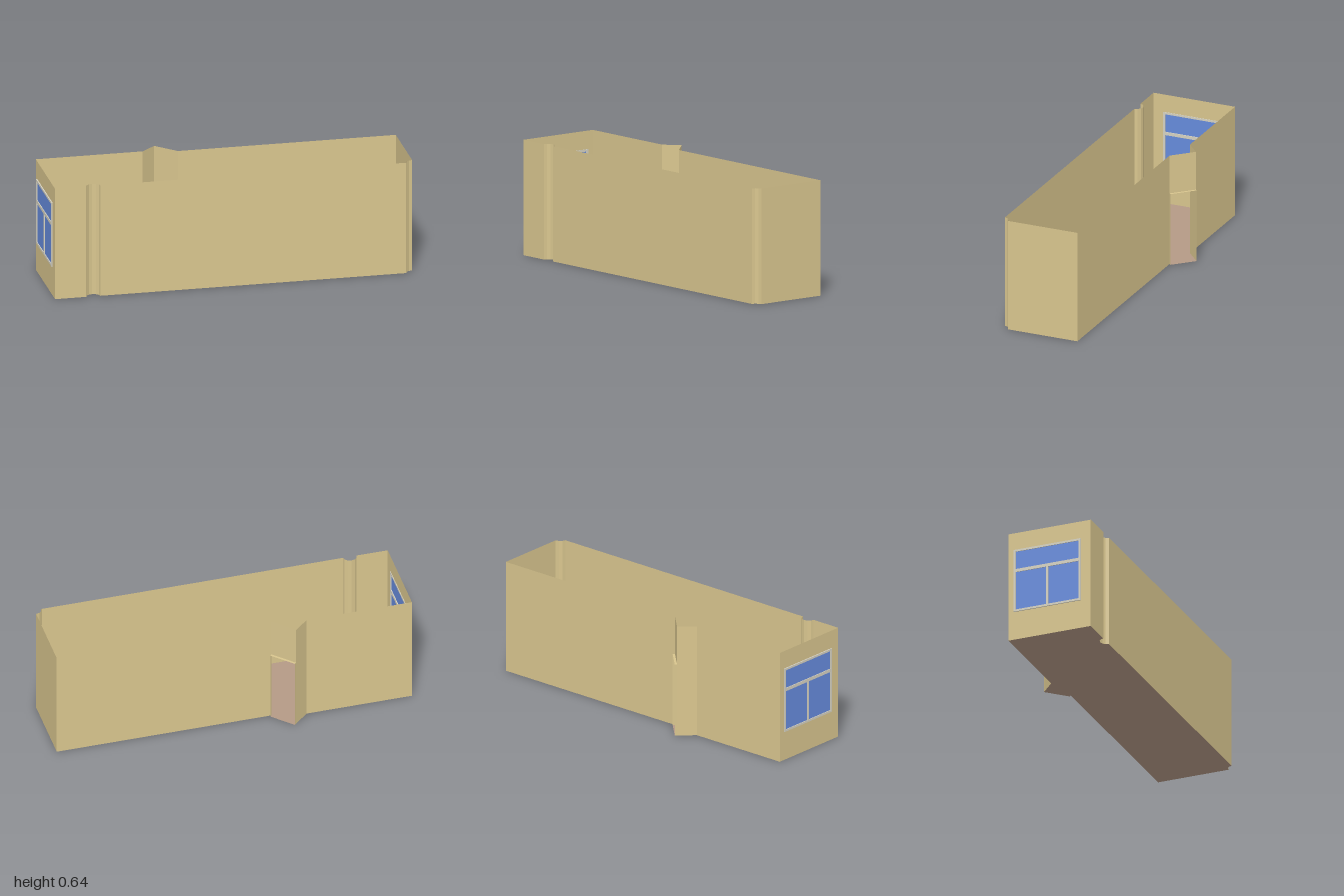
import * as THREE from 'three';

const H = 0.637, DOOR_H = 0.415, LEFT = -0.994;
const mat = (name, color, side = THREE.FrontSide) => {
  const m = new THREE.MeshStandardMaterial({ color, side });
  m.name = name;
  return m;
};

export function createModel() {
  const group = new THREE.Group();
  const wallMat = mat('tan plaster', 0xd8c58e, THREE.DoubleSide);
  const floorMat = mat('brown floor', 0xb49985, THREE.DoubleSide);
  const glassMat = mat('blue glass', 0x668bdc, THREE.DoubleSide);
  const frameMat = mat('window frame', 0xd6d2c2);

  const add = (name, geo, material, parent = group) => {
    const mesh = new THREE.Mesh(geo, material);
    mesh.name = name;
    parent.add(mesh);
    return mesh;
  };

  // upright sheet between two plan points [x, z]
  const panel = (name, a, b, y0 = 0, y1 = H) => {
    const dx = b[0] - a[0], dz = b[1] - a[1];
    const mesh = add(name, new THREE.PlaneGeometry(Math.hypot(dx, dz), y1 - y0), wallMat);
    mesh.position.set((a[0] + b[0]) / 2, (y0 + y1) / 2, (a[1] + b[1]) / 2);
    mesh.rotation.y = Math.atan2(-dz, dx);
  };

  // concave column niche
  const arc = (cx, cz, r, from, to, n) => Array.from({ length: n + 1 }, (_, i) => {
    const t = from + (to - from) * i / n;
    return [cx + r * Math.cos(t), cz + r * 0.9 * Math.sin(t)];
  });

  // plan: door bay and long back wall, then the front wall with its niches
  const bayStart = [-0.4, -0.203], apex = [-0.32, -0.275], doorEnd = [-0.212, -0.167];
  const out = ([x, z]) => [x + 0.009, z - 0.009];
  const plan = [
    [LEFT, -0.203], bayStart, apex, doorEnd, [1, -0.167],
    ...arc(1, 0.283, 0.039, -Math.PI / 2, -Math.PI, 3),
    ...arc(-0.78, 0.283, 0.039, 0, -Math.PI, 6),
    [LEFT, 0.283],
  ];

  for (let i = 0; i < plan.length - 1; i++) {
    const isDoor = plan[i] === apex;
    panel(isDoor ? 'doorLintel' : 'wall', plan[i], plan[i + 1], isDoor ? DOOR_H : 0);
  }

  // door reveal: two jambs, soffit and threshold
  for (const p of [apex, doorEnd]) panel('doorJamb', p, out(p), 0, DOOR_H);
  const flat = (name, points, y, material) => {
    const shape = new THREE.Shape(points.map(([x, z]) => new THREE.Vector2(x, -z)));
    add(name, new THREE.ShapeGeometry(shape).rotateX(-Math.PI / 2), material).position.y = y;
  };
  const reveal = [apex, out(apex), out(doorEnd), doorEnd];
  flat('doorSoffit', reveal, DOOR_H, wallMat);
  flat('doorThreshold', reveal, 0, floorMat);
  flat('floor', plan, 0, floorMat);

  // end wall with the window opening, drawn in (z, y)
  const [z0, z1, y0, y1] = [-0.17, 0.225, 0.165, 0.535];
  const rect = (Type, a, b, c, d) => new Type([[a, c], [b, c], [b, d], [a, d]]
    .map(([z, y]) => new THREE.Vector2(z, y)));
  const endShape = rect(THREE.Shape, -0.203, 0.283, 0, H);
  endShape.holes.push(rect(THREE.Path, z0, z1, y0, y1));
  const endWall = add('endWall', new THREE.ShapeGeometry(endShape), wallMat);
  endWall.rotation.y = -Math.PI / 2;
  endWall.position.x = LEFT;

  // window: glass with border, transom and lower mullion
  const win = new THREE.Group();
  win.name = 'window';
  group.add(win);
  const zc = (z0 + z1) / 2, yc = (y0 + y1) / 2, w = z1 - z0, h = y1 - y0, t = 0.012, transom = 0.41;
  const glass = add('glass', new THREE.PlaneGeometry(w, h), glassMat, win);
  glass.rotation.y = -Math.PI / 2;
  glass.position.set(-0.996, yc, zc);
  const bar = (name, z, y, bw, bh) =>
    add(name, new THREE.BoxGeometry(0.009, bh, bw), frameMat, win).position.set(-0.9955, y, z);
  for (const s of [-1, 1]) {
    bar('frameSide', zc + s * (w - t) / 2, yc, t, h);
    bar('frameRail', zc, yc + s * (h - t) / 2, w - 2 * t, t);
  }
  bar('transom', zc, transom, w - 2 * t, 0.018);
  bar('mullion', zc, (y0 + t + transom - 0.009) / 2, t, transom - 0.009 - y0 - t);

  return group;
}
